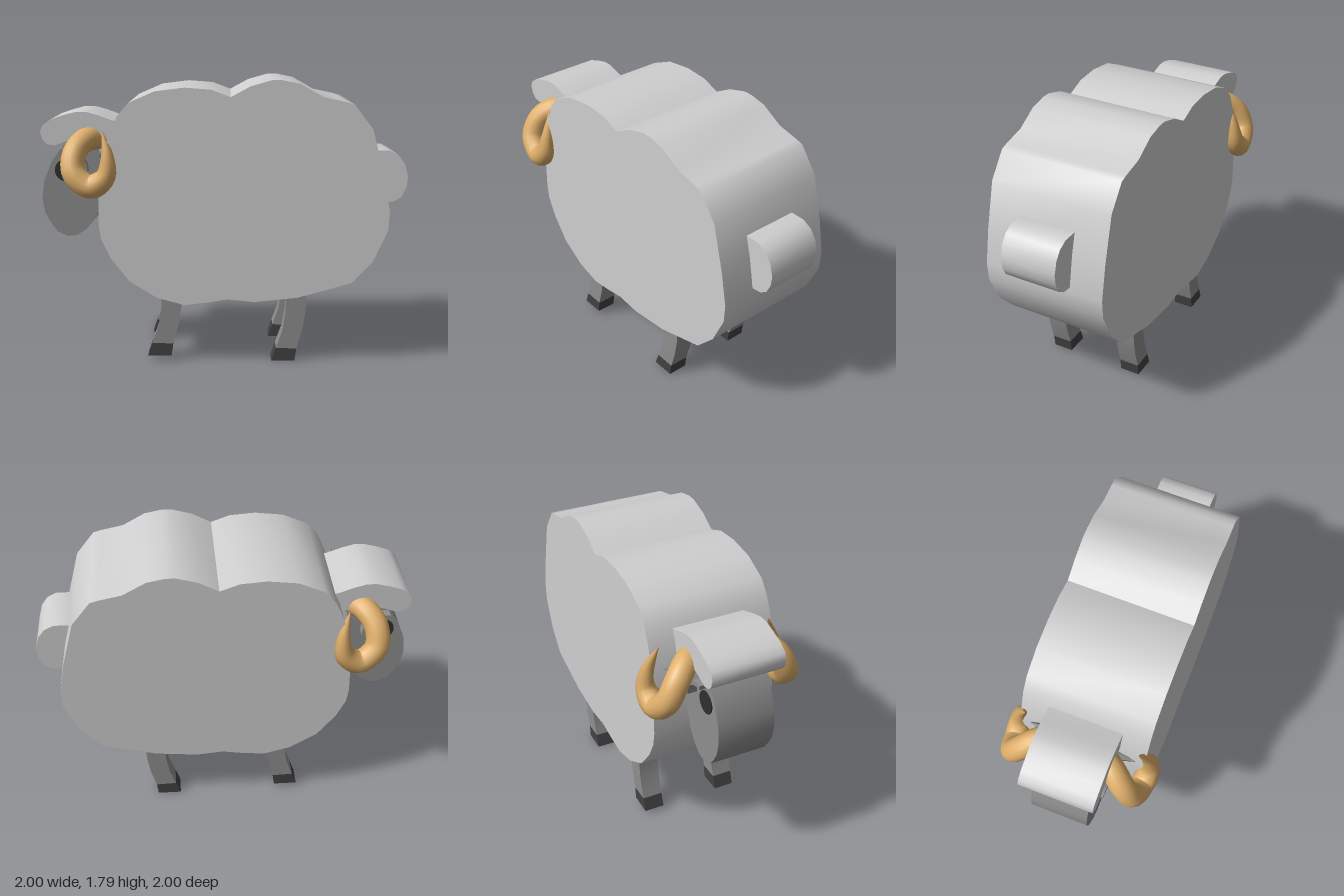
import * as THREE from 'three';
import { toCreasedNormals } from 'three/addons/utils/BufferGeometryUtils.js';

const mat = (name, color) => {
  const m = new THREE.MeshStandardMaterial({ color });
  m.name = name;
  return m;
};

export function createModel() {
  const wool = mat('wool', 0xcfcfcf);
  const skin = mat('skin', 0x8e8e8e);
  const hoofDark = mat('hoof', 0x424242);
  const eyeDark = mat('eye', 0x303030);
  const hornTan = mat('horn', 0xdeae6a);

  // The animal is built facing -x, then turned by an eighth of a circle.
  const model = new THREE.Group();
  model.name = 'sheep';
  const sheep = new THREE.Group();
  sheep.name = 'sheepParts';
  sheep.rotation.y = Math.PI / 4;
  model.add(sheep);

  const add = (name, geometry, material) => {
    const mesh = new THREE.Mesh(geometry, material);
    mesh.name = name;
    sheep.add(mesh);
    return mesh;
  };

  // Side profile extruded sideways, centred on z
  const slab = (name, points, width, material, z = 0) => {
    const shape = new THREE.Shape(points.map(([x, y]) => new THREE.Vector2(x, y)));
    const geo = new THREE.ExtrudeGeometry(shape, { depth: width, bevelEnabled: false });
    geo.translate(0, 0, z - width / 2);
    return add(name, toCreasedNormals(geo, 0.78), material);
  };

  // Woolly body
  slab('body', [
    [-0.775, 0.9], [-0.77, 1.08], [-0.75, 1.28], [-0.705, 1.45], [-0.65, 1.57], [-0.58, 1.65],
    [-0.42, 1.72], [-0.24, 1.742], [-0.08, 1.73], [0.04, 1.685], [0.16, 1.75], [0.29, 1.787],
    [0.35, 1.787], [0.46, 1.765], [0.6, 1.685], [0.74, 1.655], [0.79, 1.64], [0.905, 1.49],
    [0.98, 1.2], [1.02, 0.98], [1.012, 0.86], [0.925, 0.67], [0.795, 0.53], [0.455, 0.435],
    [0.185, 0.408], [0.02, 0.425], [-0.1, 0.405], [-0.25, 0.388], [-0.42, 0.435],
    [-0.59, 0.54], [-0.705, 0.69], [-0.762, 0.81],
  ], 0.79, wool);

  // Tail
  slab('tail', [
    [0.88, 1.32], [0.94, 1.335], [1.04, 1.335], [1.1, 1.305], [1.14, 1.25], [1.163, 1.17],
    [1.155, 1.1], [1.125, 1.04], [1.08, 1.01], [1.03, 1.003], [0.88, 1.003],
  ], 0.36, wool);

  // Head
  slab('head', [
    [-1.155, 1.03], [-1.14, 0.94], [-1.11, 0.88], [-1.065, 0.815], [-1.0, 0.785], [-0.94, 0.79],
    [-0.88, 0.83], [-0.82, 0.9], [-0.775, 1.0], [-0.75, 1.12], [-0.74, 1.26], [-0.78, 1.38],
    [-0.86, 1.43], [-0.95, 1.41], [-1.02, 1.36], [-1.09, 1.265], [-1.14, 1.14],
  ], 0.36, skin);

  // Tuft of wool over the forehead
  slab('foreheadWool', [
    [-1.148, 1.46], [-1.135, 1.41], [-1.105, 1.38], [-1.06, 1.372], [-0.98, 1.4], [-0.88, 1.42],
    [-0.76, 1.4], [-0.6, 1.38], [-0.6, 1.505], [-0.7, 1.53], [-0.78, 1.56], [-0.86, 1.582],
    [-0.92, 1.582], [-1.0, 1.562], [-1.08, 1.535], [-1.13, 1.5],
  ], 0.46, wool);

  for (const side of [1, -1]) {
    const label = side > 0 ? 'left' : 'right';

    // Eye disc
    const eye = add(label + 'Eye', new THREE.CylinderGeometry(0.07, 0.07, 0.008, 24), eyeDark);
    eye.rotation.x = Math.PI / 2;
    eye.position.set(-1.0, 1.21, side * 0.183);

    // Brow curving over the back of the eye
    const brow = [];
    for (let i = 0; i <= 6; i++) brow.push([i / 6 * 1.75, 0.145]);
    for (let i = 6; i >= 0; i--) brow.push([i / 6 * 1.75, 0.115]);
    slab(label + 'Brow', brow.map(([a, r]) => [-1.0 + r * Math.cos(a), 1.21 + r * Math.sin(a)]),
      0.07, skin, side * 0.205);

    // Small ear tucked behind the horn
    const ear = add(label + 'Ear', new THREE.ConeGeometry(0.05, 0.18, 6), skin);
    ear.rotation.x = side * Math.PI / 2;
    ear.position.set(-0.75, 1.32, side * 0.25);

    // Curled, tapering horn
    const path = new THREE.CatmullRomCurve3([
      [-0.79, 1.41, 0.14], [-0.86, 1.41, 0.24], [-0.92, 1.34, 0.325], [-0.92, 1.22, 0.385],
      [-0.82, 1.14, 0.41], [-0.725, 1.2, 0.42], [-0.71, 1.32, 0.405], [-0.745, 1.475, 0.355],
    ].map(([x, y, z]) => new THREE.Vector3(x, y, side * z)));
    const rings = 40, around = 14;
    const horn = new THREE.TubeGeometry(path, rings, 1, around);
    const pos = horn.attributes.position, v = new THREE.Vector3();
    for (let i = 0; i <= rings; i++) {
      const t = i / rings, centre = path.getPointAt(t);
      const radius = t < 0.6 ? 0.074 : 0.074 - 0.072 * Math.pow((t - 0.6) / 0.4, 1.3);
      for (let j = 0; j <= around; j++) {
        const k = i * (around + 1) + j;
        v.fromBufferAttribute(pos, k).sub(centre).multiplyScalar(radius).add(centre);
        pos.setXYZ(k, v.x, v.y, v.z);
      }
    }
    add(label + 'Horn', horn, hornTan);

    // Bent legs with hooves; the front pair is slightly lifted
    for (const [end, x, y] of [['Front', -0.487, 0.033], ['Back', 0.3, 0]]) {
      const at = (pts) => pts.map(([px, py]) => [px + x, py + y]);
      slab(label + end + 'Leg', at([
        [0.03, 0.085], [0.16, 0.08], [0.195, 0.2], [0.215, 0.32], [0.225, 0.5],
        [0.095, 0.5], [0.09, 0.32], [0.07, 0.2],
      ]), 0.13, skin, side * 0.257);
      slab(label + end + 'Hoof', at([[0, 0], [0.15, 0], [0.16, 0.08], [0.03, 0.085]]),
        0.13, hoofDark, side * 0.257);
    }
  }
  return model;
}
